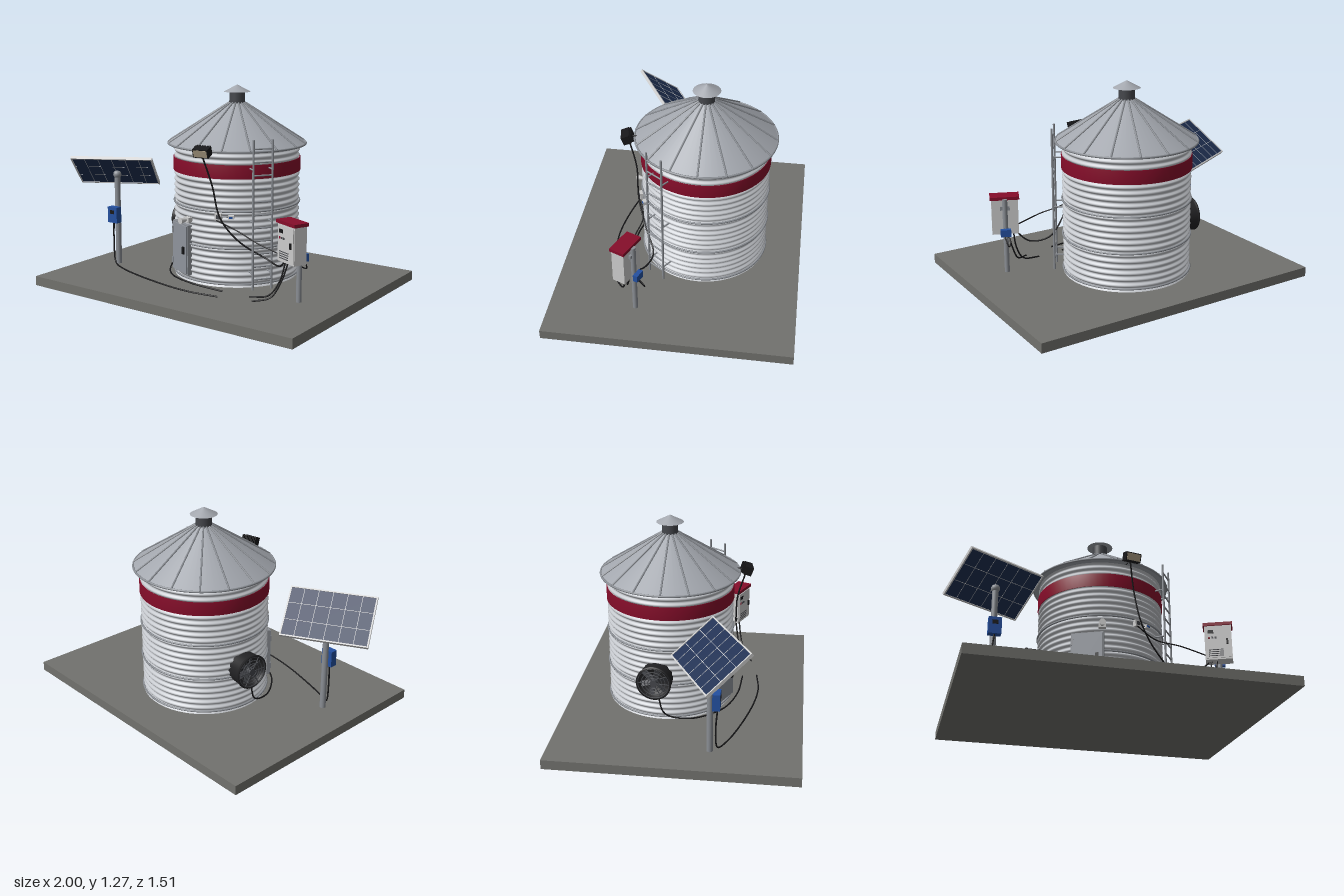
import * as THREE from 'three';

const V = (x, y, z) => new THREE.Vector3(x, y, z);
const mat = (color, side = THREE.FrontSide) => new THREE.MeshStandardMaterial({ color, side });
const M = {
  concrete: mat(0x72726e), wall: mat(0xc4c7cc), roof: mat(0xa2a6ad, THREE.DoubleSide), steel: mat(0x8a8e94),
  dark: mat(0x45474c), black: mat(0x18181a), red: mat(0x860d2a), panel: mat(0x1f3052),
  blue: mat(0x2450a0), white: mat(0xcccccc), door: mat(0x8f949c), lens: mat(0xb5a68c),
};
const SILO = V(0.042, 0, -0.12), R = 0.4, GROUND = 0.06;

function add(parent, name, geometry, material, x = 0, y = 0, z = 0) {
  const m = new THREE.Mesh(geometry, material);
  m.name = name;
  m.position.set(x, y, z);
  parent.add(m);
  return m;
}
const box = (p, name, m, w, h, d, x, y, z) => add(p, name, new THREE.BoxGeometry(w, h, d), m, x, y, z);
const cyl = (p, name, m, r0, r1, h, x, y, z, n = 32) => add(p, name, new THREE.CylinderGeometry(r0, r1, h, n), m, x, y, z);

// Round bar between two points
function rod(p, name, m, a, b, r, n = 10) {
  const c = a.clone().add(b).multiplyScalar(0.5);
  const o = cyl(p, name, m, r, r, a.distanceTo(b), c.x, c.y, c.z, n);
  o.quaternion.setFromUnitVectors(V(0, 1, 0), b.clone().sub(a).normalize());
  return o;
}

function cable(p, name, pts, r = 0.005) {
  const curve = new THREE.CatmullRomCurve3(pts.map(q => V(...q)));
  add(p, name, new THREE.TubeGeometry(curve, 60, r, 8), M.black);
}

function group(p, name, x = 0, y = 0, z = 0, ry = 0) {
  const g = new THREE.Group();
  g.name = name;
  g.position.set(x, y, z);
  g.rotation.y = ry;
  p.add(g);
  return g;
}

// Group on the silo wall at angle a, local +z pointing outward
const onWall = (p, name, a, r, y) =>
  group(p, name, SILO.x + r * Math.sin(a), y, SILO.z + r * Math.cos(a), a);

function lathe(p, name, m, pts, n = 64) {
  return add(p, name, new THREE.LatheGeometry(pts.map(q => new THREE.Vector2(...q)), n), m);
}

function buildSilo(root) {
  const g = group(root, 'silo', SILO.x, 0, SILO.z);
  // Corrugated wall
  const wall = [], waves = 22, steps = waves * 6;
  for (let i = 0; i <= steps; i++)
    wall.push([R - 0.006 + 0.008 * Math.cos(i / 6 * Math.PI * 2), GROUND + 0.845 * i / steps]);
  lathe(g, 'corrugatedWall', M.wall, wall, 72);
  lathe(g, 'redBand', M.red, [[R, 0.735], [R + 0.006, 0.735], [R + 0.006, 0.82], [R, 0.82]]);
  for (const y of [0.08, 0.305, 0.535]) {
    const t = add(g, 'seamRing', new THREE.TorusGeometry(R + 0.003, 0.006, 8, 72), M.steel, 0, y, 0);
    t.rotation.x = Math.PI / 2;
  }
  // Conical roof with rim and ribs
  lathe(g, 'roof', M.roof, [[R - 0.01, 0.9], [0.44, 0.9]]);
  lathe(g, 'roofCone', M.roof, [[0.44, 0.905], [0.05, 1.155]]);
  const rim = add(g, 'roofRim', new THREE.TorusGeometry(0.438, 0.007, 8, 72), M.steel, 0, 0.904, 0);
  rim.rotation.x = Math.PI / 2;
  for (let i = 0; i < 16; i++) {
    const a = i / 16 * Math.PI * 2, c = Math.cos(a), s = Math.sin(a);
    rod(g, 'roofRib', M.steel, V(0.44 * c, 0.908, 0.44 * s), V(0.05 * c, 1.158, 0.05 * s), 0.006, 6);
  }
  // Vent
  cyl(g, 'ventNeck', M.dark, 0.05, 0.05, 0.09, 0, 1.18, 0);
  cyl(g, 'ventCap', M.roof, 0, 0.085, 0.045, 0, 1.2475, 0);
}

function buildLadder(root) {
  const g = onWall(root, 'ladder', 0.95, 0.455, 0);
  for (const x of [-0.061, 0.061]) {
    rod(g, 'ladderRail', M.steel, V(x, GROUND, 0), V(x, 0.98, 0), 0.007);
    for (const y of [0.16, 0.48, 0.8]) rod(g, 'wallBracket', M.steel, V(x, y, 0), V(x, y, -0.07), 0.005);
  }
  for (let y = 0.125; y < 0.95; y += 0.08)
    rod(g, 'ladderRung', M.steel, V(-0.061, y, 0), V(0.061, y, 0), 0.005);
}

function buildFan(root) {
  const g = onWall(root, 'fan', -Math.PI / 2 - 0.09, R, 0.345);
  const shell = add(g, 'fanShroud', new THREE.LatheGeometry(
    [[0.1, -0.03], [0.105, 0.065], [0.11, 0.07], [0.11, 0.08], [0.098, 0.08], [0.095, 0.02], [0, 0.02]]
      .map(q => new THREE.Vector2(...q)), 40), mat(0x222224, THREE.DoubleSide));
  shell.rotation.x = Math.PI / 2;
  for (const r of [0.035, 0.055, 0.075, 0.098])
    add(g, 'guardRing', new THREE.TorusGeometry(r, 0.003, 6, 32), M.dark, 0, 0, 0.078);
  for (let i = 0; i < 6; i++) {
    const a = i / 6 * Math.PI * 2;
    rod(g, 'guardSpoke', M.dark, V(0, 0, 0.078), V(0.1 * Math.cos(a), 0.1 * Math.sin(a), 0.078), 0.003, 6);
    const blade = group(g, 'fanBlade', 0, 0, 0.045);
    blade.rotation.z = a + 0.3;
    box(blade, 'blade', M.dark, 0.07, 0.035, 0.004, 0.055, 0, 0).rotation.x = 0.5;
  }
  cyl(g, 'fanHub', M.dark, 0.022, 0.022, 0.06, 0, 0, 0.052, 20).rotation.x = Math.PI / 2;
}

function buildWallFittings(root) {
  // Access door
  const d = onWall(root, 'door', -0.44, R, 0.2625);
  box(d, 'doorFrame', M.steel, 0.2, 0.32, 0.03, 0, 0, -0.005);
  box(d, 'doorLeaf', M.door, 0.184, 0.304, 0.012, 0, 0, 0.012);
  box(d, 'doorHandle', M.black, 0.02, 0.045, 0.014, 0.062, -0.005, 0.022);
  for (const y of [-0.1, 0.1]) box(d, 'doorHinge', M.steel, 0.014, 0.04, 0.012, -0.09, y, 0.016);
  // Floodlight
  const f = onWall(root, 'floodlight', 0.165, 0.49, 0.907);
  rod(f, 'lightArm', M.black, V(0, 0, -0.1), V(0, 0, 0), 0.008);
  const head = group(f, 'lightHead');
  head.rotation.x = 0.35;
  box(head, 'lightHousing', M.black, 0.1, 0.055, 0.05, 0, 0, 0);
  box(head, 'lightLens', M.lens, 0.088, 0.044, 0.004, 0, 0, 0.025);
  for (let i = -4; i <= 4; i++) box(head, 'coolingFin', M.black, 0.004, 0.05, 0.02, i * 0.011, 0, -0.03);
  // Siren horn
  const s = onWall(root, 'horn', -0.22, R, 0.46);
  box(s, 'hornMount', M.white, 0.045, 0.03, 0.035, 0, 0, 0.01);
  cyl(s, 'hornBell', M.white, 0.02, 0.008, 0.05, 0, 0, 0.05, 20).rotation.x = Math.PI / 2;
  // Junction box and sensor
  const j = onWall(root, 'junctionBox', 0.33, R, 0.505);
  box(j, 'boxBody', M.white, 0.04, 0.042, 0.03, 0, 0, 0.01);
  box(j, 'boxLid', M.dark, 0.024, 0.024, 0.003, 0, 0, 0.026);
  const t = onWall(root, 'sensor', 0.52, R, 0.505);
  box(t, 'sensorBody', M.white, 0.035, 0.022, 0.03, 0, 0, 0.01);
  box(t, 'sensorFace', M.blue, 0.02, 0.012, 0.003, 0, 0, 0.026);
  rod(root, 'conduit', M.steel, V(0.17, 0.505, 0.27), V(0.24, 0.505, 0.24), 0.004);
}

function buildCabinet(root) {
  cyl(root, 'cabinetPost', M.steel, 0.016, 0.016, 0.48, 0.718, 0.3, 0.224, 20);
  const g = group(root, 'controlCabinet', 0.697, 0.42, 0.273, -0.41);
  box(g, 'cabinetBody', M.white, 0.165, 0.225, 0.085, 0, 0, 0);
  box(g, 'cabinetRoof', M.red, 0.182, 0.02, 0.1, 0, 0.122, 0);
  box(g, 'cabinetDoor', M.white, 0.15, 0.205, 0.006, 0, 0, 0.044);
  box(g, 'display', M.black, 0.036, 0.022, 0.004, -0.045, 0.07, 0.048);
  box(g, 'handle', M.black, 0.012, 0.035, 0.012, 0.055, 0, 0.05);
  for (let i = 0; i < 3; i++) box(g, 'switch', i ? M.dark : M.red, 0.012, 0.012, 0.005, -0.055 + i * 0.02, 0.03, 0.048);
  for (let i = 0; i < 4; i++) box(g, 'ventSlot', M.dark, 0.09, 0.005, 0.003, -0.015, -0.05 - i * 0.013, 0.0475);
  // Clamp and terminal box behind the post
  box(g, 'postClamp', M.steel, 0.06, 0.025, 0.02, 0, 0.06, -0.045);
  box(g, 'terminalBox', M.blue, 0.065, 0.045, 0.03, 0, -0.09, -0.082);
}

function buildSolar(root) {
  cyl(root, 'solarPost', M.steel, 0.019, 0.019, 0.6, -0.69, 0.36, 0.21, 20);
  add(root, 'solarPivot', new THREE.SphereGeometry(0.027, 20, 14), M.steel, -0.69, 0.665, 0.21);
  box(root, 'chargeController', M.blue, 0.078, 0.105, 0.045, -0.688, 0.4, 0.248);
  box(root, 'controllerScreen', M.black, 0.035, 0.025, 0.004, -0.688, 0.42, 0.271);
  const g = group(root, 'solarPanel', -0.7, 0.69, 0.21);
  g.rotation.set(-0.66, 0.5, 0, 'YXZ');
  const W = 0.535, D = 0.34;
  box(g, 'cells', M.panel, W - 0.01, 0.012, D - 0.01, 0, 0, 0);
  for (const s of [-1, 1]) {
    box(g, 'frameLong', M.white, W, 0.02, 0.009, 0, 0, s * (D / 2 - 0.0045));
    box(g, 'frameShort', M.white, 0.009, 0.02, D, s * (W / 2 - 0.0045), 0, 0);
  }
  for (let i = 1; i < 6; i++) box(g, 'cellLine', M.white, 0.003, 0.0135, D - 0.01, (i / 6 - 0.5) * W, 0.0005, 0);
  for (let i = 1; i < 3; i++) box(g, 'cellLine', M.white, W - 0.01, 0.0135, 0.003, 0, 0.0005, (i / 3 - 0.5) * D);
}

function buildCables(root) {
  cable(root, 'lightCable', [[0.115, 0.88, 0.35], [0.15, 0.7, 0.3], [0.2, 0.5, 0.285], [0.3, 0.36, 0.23],
    [0.45, 0.26, 0.155], [0.57, 0.245, 0.2], [0.64, 0.31, 0.245]]);
  cable(root, 'boxCable', [[0.17, 0.485, 0.285], [0.3, 0.425, 0.24], [0.45, 0.385, 0.27], [0.62, 0.34, 0.27]], 0.004);
  cable(root, 'groundCable', [[0.65, 0.31, 0.26], [0.62, 0.18, 0.28], [0.56, 0.09, 0.305], [0.44, 0.066, 0.325]]);
  cable(root, 'groundCable', [[0.68, 0.31, 0.28], [0.64, 0.18, 0.3], [0.59, 0.09, 0.33], [0.5, 0.066, 0.39]]);
  cable(root, 'terminalCable', [[0.74, 0.31, 0.2], [0.73, 0.25, 0.16], [0.71, 0.26, 0.18], [0.69, 0.31, 0.25]], 0.004);
  cable(root, 'solarCable', [[-0.688, 0.36, 0.255], [-0.7, 0.2, 0.245], [-0.68, 0.08, 0.255], [-0.57, 0.066, 0.31],
    [-0.19, 0.066, 0.42], [0.08, 0.066, 0.455], [0.29, 0.066, 0.435]]);
  cable(root, 'fanCable', [[-0.4, 0.25, -0.14], [-0.395, 0.12, -0.1], [-0.36, 0.075, 0.05], [-0.21, 0.07, 0.24],
    [0, 0.07, 0.32], [0.26, 0.068, 0.34]]);
}

export function createModel() {
  const root = new THREE.Group();
  root.name = 'grainSilo';
  box(root, 'slab', M.concrete, 1.91, GROUND, 1.51, 0.041, GROUND / 2, 0);
  for (const build of [buildSilo, buildLadder, buildFan, buildWallFittings, buildCabinet, buildSolar, buildCables]) build(root);
  return root;
}
